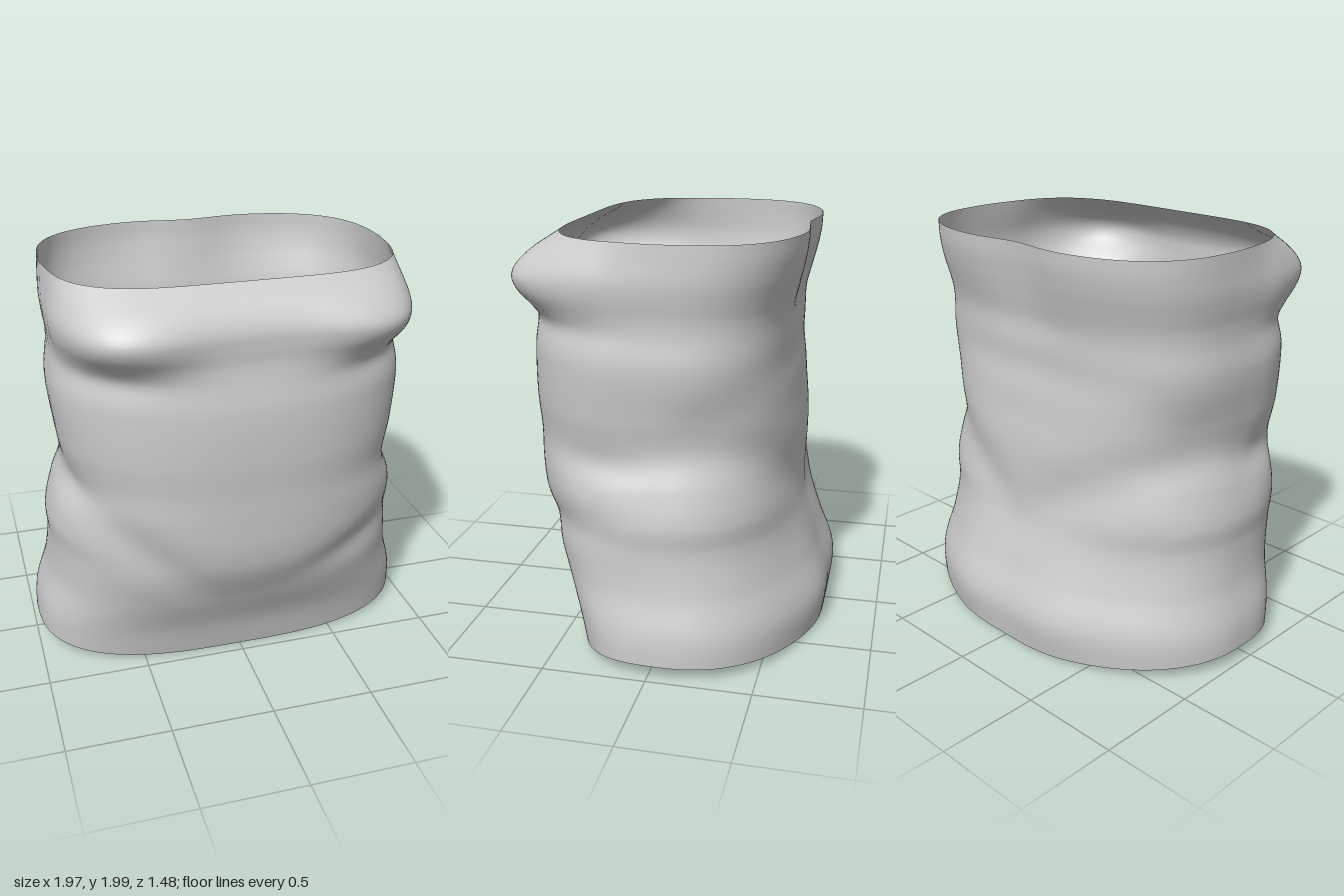
import * as THREE from 'three';

// Height stations from hem to neckline, and at each one:
// half width, front z, back z, z of the side seam, front squareness, back squareness
const HEIGHTS = [0, 0.2, 0.4, 0.6, 0.72, 0.88, 1.03, 1.2, 1.45, 1.6, 1.67, 1.75, 1.82, 1.92, 2];
const SECTIONS = [
  0.985, 0.44, -0.725, -0.08, 3.0, 2.1,
  0.975, 0.495, -0.735, -0.08, 2.9, 2.1,
  0.92, 0.59, -0.67, -0.05, 2.6, 2.15,
  0.90, 0.68, -0.62, 0.01, 2.3, 2.25,
  0.905, 0.705, -0.61, 0.03, 2.25, 2.35,
  0.87, 0.715, -0.60, 0.06, 2.35, 2.45,
  0.825, 0.72, -0.59, 0.08, 2.4, 2.6,
  0.84, 0.73, -0.57, 0.10, 2.4, 2.8,
  0.86, 0.725, -0.545, 0.09, 2.4, 3.0,
  0.84, 0.70, -0.55, 0.07, 2.6, 3.0,
  0.84, 0.69, -0.56, 0.07, 3.0, 3.0,
  0.85, 0.69, -0.58, 0.06, 3.6, 3.0,
  0.855, 0.685, -0.60, 0.04, 3.8, 3.0,
  0.85, 0.63, -0.62, 0.01, 3.8, 3.0,
  0.845, 0.53, -0.625, 0.0, 3.6, 3.0,
];
const bell = (d, width) => Math.exp(-(d * d) / (width * width));
const signedPow = (v, p) => Math.sign(v) * Math.pow(Math.abs(v), p);

// Outward push of the cloth: chest fullness, folds and hollows
function relief(x, y, z) {
  const ax = Math.abs(x);
  const front = THREE.MathUtils.smoothstep(z, 0, 0.3);
  const back = THREE.MathUtils.smoothstep(-z, 0, 0.3);
  let d = 0;
  // chest fullness and the tuck below it
  d += front * 0.095 * bell(ax - 0.56, 0.25) * bell(y - 1.8, 0.14);
  d -= front * 0.015 * bell(ax - 0.62, 0.2) * bell(y - 1.6, 0.06);
  // steep fold from the right waist to the belly, flatter one on the left
  if (x < 0) d -= front * 0.03 * bell(ax - 0.25 - (y - 0.45), 0.16) * bell(y - 0.72, 0.3);
  else d -= front * 0.03 * bell(y - 0.52 - (x - 0.2) * 0.25, 0.1) * bell(x - 0.6, 0.32);
  // broad V-shaped valley across the lower back
  d -= back * 0.03 * bell(ax - (y - 0.6) * 1.5, 0.28) * bell(y - 0.85, 0.28);
  // seat fullness with a shallow centre line, and the hollow of the spine
  d += back * 0.025 * bell(ax - 0.3, 0.2) * bell(y - 0.25, 0.28);
  d -= back * 0.045 * bell(ax, 0.2) * bell(y - 1.95, 0.3);
  // waist pinch behind the side seams, and a small wrinkle ahead of them
  d -= 0.018 * bell(z + 0.25, 0.25) * bell(y - 1.12 + z * 0.3, 0.15) * bell(ax - 0.75, 0.3);
  d -= 0.02 * bell(z - 0.25, 0.18) * bell(y - 0.97, 0.08) * bell(ax - 0.8, 0.25);
  // faint wrinkles across the back
  d += back * 0.004 * Math.sin(y * 26) * bell(y - 1.5, 0.25) * bell(ax, 0.5);
  return d;
}

function createShell(columns, rows) {
  const profile = new THREE.CubicInterpolant(HEIGHTS, SECTIONS, 6);
  const positions = [];
  const index = [];
  for (let r = 0; r <= rows; r++) {
    for (let c = 0; c < columns; c++) {
      const a = (c / columns) * Math.PI * 2;
      const s = Math.sin(a);
      // the hem dips at the front and back
      const hem = 0.08 - (s > 0 ? 0.07 : 0.06) * s * s;
      const y = hem + (2 - hem) * (r / rows);
      const [w, zf, zb, zc, nf, nb] = profile.evaluate(y);
      const n = s >= 0 ? nf : nb;
      const depth = signedPow(s, 2 / n);
      // the chest narrows towards the front
      const taper = 1 - 0.09 * Math.max(depth, 0) * THREE.MathUtils.smoothstep(y, 1.5, 1.8);
      const x = w * taper * signedPow(Math.cos(a), 2 / n);
      const z = zc + (s >= 0 ? zf - zc : zc - zb) * depth;
      const d = relief(x, y, z) / Math.hypot(x, z - zc);
      positions.push(x * (1 + d), y, z + (z - zc) * d);
      if (r < rows) {
        const next = (c + 1) % columns;
        const p = r * columns + c, q = r * columns + next;
        index.push(p, p + columns, q, q, p + columns, q + columns);
      }
    }
  }
  const geometry = new THREE.BufferGeometry();
  geometry.setAttribute('position', new THREE.Float32BufferAttribute(positions, 3));
  geometry.setIndex(index);
  geometry.computeVertexNormals();
  return geometry;
}

export function createModel() {
  const group = new THREE.Group();
  group.name = 'strapless top';
  const material = new THREE.MeshStandardMaterial({ color: 0xcccccc, side: THREE.DoubleSide });
  // one open tube of cloth
  const cloth = new THREE.Mesh(createShell(128, 100), material);
  cloth.name = 'bodice';
  group.add(cloth);
  return group;
}
